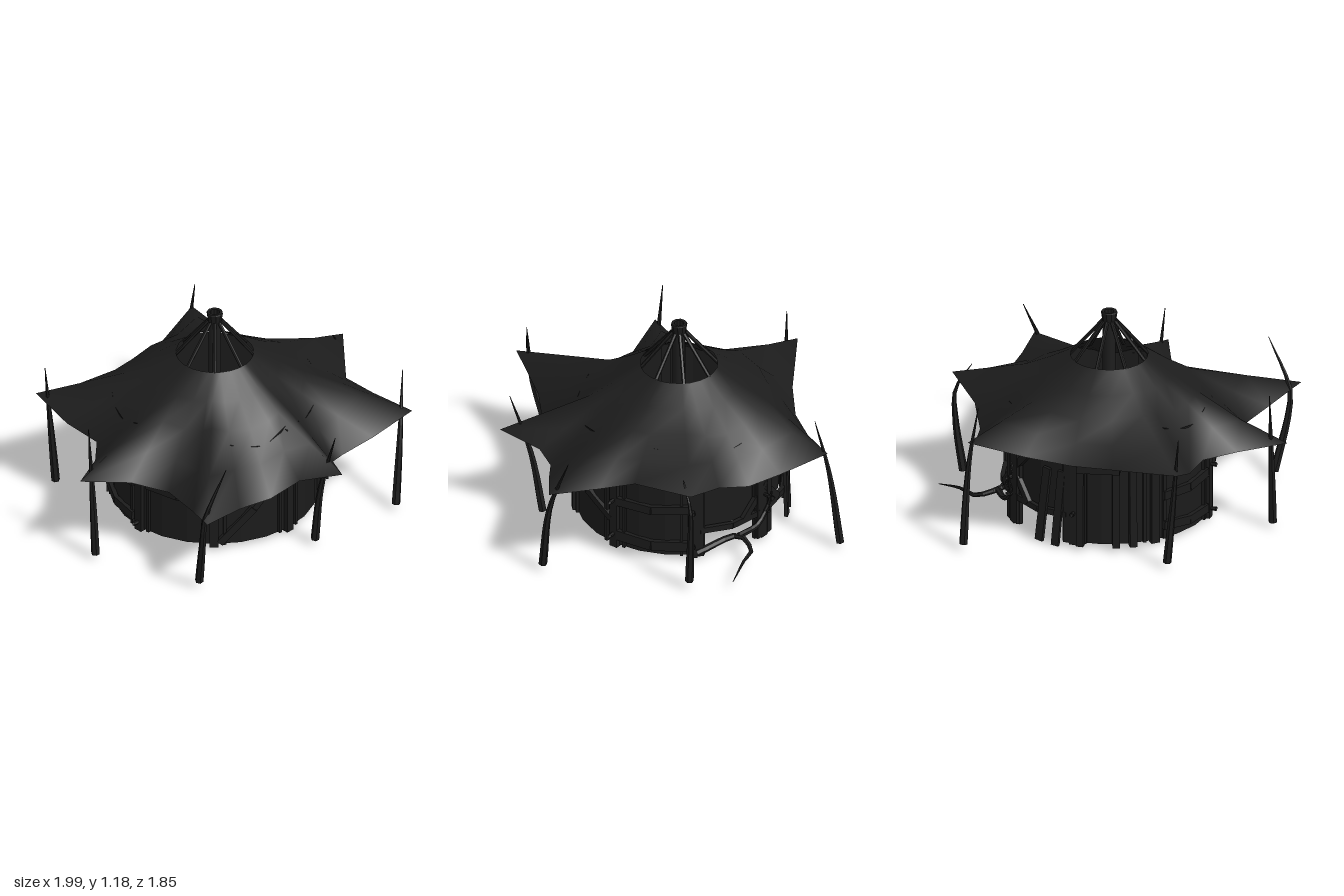
import * as THREE from 'three';

const CX = 0.045, CZ = -0.085;          // axis of the hut
const FLOOR = 0.035, WALL_R = 0.575;
const V = (x, y, z) => new THREE.Vector3(x, y, z);
// Point at an angle (degrees, 0 = front, 90 = +x), radius and height around the hut axis
const at = (deg, r, y) => {
  const a = THREE.MathUtils.degToRad(deg);
  return V(CX + r * Math.sin(a), y, CZ + r * Math.cos(a));
};

export function createModel() {
  const root = new THREE.Group();
  const cloth = new THREE.MeshStandardMaterial({ color: 0x1d1d1d, side: THREE.DoubleSide });
  const wood = new THREE.MeshStandardMaterial({ color: 0x1b1b1b, side: THREE.DoubleSide, flatShading: true });

  const add = (name, geo, mat = wood) => {
    const m = new THREE.Mesh(geo, mat);
    m.name = name;
    root.add(m);
    return m;
  };

  // Board from p to q whose broad face looks away from the hut axis
  const board = (name, p, q, width, depth) => {
    const m = add(name, new THREE.BoxGeometry(p.distanceTo(q), width, depth));
    const mid = p.clone().add(q).multiplyScalar(0.5);
    const x = q.clone().sub(p).normalize();
    const z = V(mid.x - CX, 0, mid.z - CZ);
    z.addScaledVector(x, -z.dot(x)).normalize();
    const y = z.clone().cross(x);
    m.quaternion.setFromRotationMatrix(new THREE.Matrix4().makeBasis(x, y, z));
    m.position.copy(mid);
  };

  // Tube along points, tapering from r0 to r1, faster towards the tip
  const limb = (name, pts, r0, r1, seg = 8) => {
    const curve = new THREE.CatmullRomCurve3(pts);
    const geo = new THREE.TubeGeometry(curve, seg, 1, 6);
    const pos = geo.attributes.position, v = V(0, 0, 0);
    for (let i = 0; i < pos.count; i++) {
      const t = Math.floor(i / 7) / seg, c = curve.getPointAt(t);
      v.fromBufferAttribute(pos, i).sub(c).multiplyScalar(r0 + (r1 - r0) * t ** 1.6).add(c);
      pos.setXYZ(i, v.x, v.y, v.z);
    }
    geo.computeVertexNormals();
    add(name, geo);
  };

  // Canopy: eight-pointed cloth, lofted from the smoke hole to the ragged hem
  const hem = [
    [-1, 0.545, -0.085], [-0.76, 0.5, 0.07], [-0.64, 0.465, 0.25], [-0.69, 0.47, 0.49],
    [-0.8, 0.535, 0.715], [-0.47, 0.455, 0.635], [-0.235, 0.42, 0.64], [-0.06, 0.48, 0.69],
    [0.05, 0.575, 0.915], [0.18, 0.51, 0.71], [0.3, 0.48, 0.665], [0.5, 0.52, 0.7],
    [0.77, 0.59, 0.735], [0.745, 0.59, 0.45], [0.735, 0.6, 0.25], [0.985, 0.65, -0.03], [0.79, 0.57, -0.21],
    [0.695, 0.505, -0.39], [0.65, 0.54, -0.57], [0.61, 0.63, -0.84], [0.3, 0.56, -0.77],
    [0.04, 0.53, -0.735], [-0.21, 0.55, -0.75], [-0.61, 0.61, -0.83], [-0.605, 0.52, -0.59], [-0.6, 0.5, -0.36], [-0.75, 0.51, -0.22],
  ];
  const verts = [], faces = [], rings = 5;
  hem.forEach(([x, y, z], i) => {
    const dx = x - CX, dz = z - CZ, r = Math.hypot(dx, dz);
    const kinkY = 0.752 + (y - 0.56) * 0.3;
    const profile = [[0.215, 0.93], [0.355, (0.93 + kinkY) / 2 - 0.005], [0.5, kinkY],
      [(0.5 + r) / 2, (kinkY + y) / 2], [r, y]];
    profile.forEach(([pr, py]) => verts.push(CX + dx / r * pr, py, CZ + dz / r * pr));
    const n = (i + 1) % hem.length;
    for (let k = 0; k < rings - 1; k++) {
      const a = i * rings + k, b = n * rings + k;
      faces.push(a, a + 1, b, b, a + 1, b + 1);
    }
  });
  const roofGeo = new THREE.BufferGeometry();
  roofGeo.setAttribute('position', new THREE.Float32BufferAttribute(verts, 3));
  roofGeo.setIndex(faces);
  roofGeo.computeVertexNormals();
  const roof = add('canopy', roofGeo, cloth);

  // Height of the canopy above a point
  const ray = new THREE.Raycaster();
  const roofY = p => {
    ray.set(V(p.x, 2, p.z), V(0, -1, 0));
    return ray.intersectObject(roof)[0].point.y;
  };

  // Curved wall between two angles, from a bottom height up to the canopy
  const wall = (name, from, to, bottom, radius, sides) => {
    const geo = new THREE.CylinderGeometry(radius, radius, 1, sides, 1, true,
      THREE.MathUtils.degToRad(from), THREE.MathUtils.degToRad(to - from));
    const pos = geo.attributes.position;
    for (let i = 0; i < pos.count; i++) {
      const p = V(pos.getX(i) + CX, 0, pos.getZ(i) + CZ);
      pos.setXYZ(i, p.x, pos.getY(i) > 0 ? roofY(p) - 0.005 : bottom, p.z);
    }
    add(name, geo);
  };
  wall('wall', 180, 450, FLOOR, WALL_R, 18);
  // Two bays whose cladding stops short of the ground
  wall('raisedWall', 90, 135, 0.2, WALL_R - 0.01, 2);
  wall('raisedWall', 135, 180, 0.2, WALL_R - 0.01, 2);

  // Hollow centre pole with a flared cap
  const pole = add('centrePole', new THREE.CylinderGeometry(0.036, 0.036, 1.12, 10, 1, true), cloth);
  pole.position.set(CX, FLOOR + 0.56, CZ);
  const cap = add('poleCap', new THREE.LatheGeometry(
    [[0.032, 1.13], [0.037, 1.13], [0.046, 1.185], [0.043, 1.192], [0.028, 1.19], [0.028, 1.135]]
      .map(([r, y]) => new THREE.Vector2(r, y)), 10));
  cap.position.set(CX, 0, CZ);

  for (let i = 0; i < 8; i++) {
    const a = i * 45;
    // Rafters over the smoke hole
    limb('rafter', [at(a, 0.035, 1.135), at(a, 0.24, 0.885)], 0.011, 0.011, 1);
    // Wall posts with a thin batten on each side
    const top = b => roofY(at(b, 0.6, 0)) - 0.02;
    board('wallPost', at(a, 0.58, FLOOR - 0.01), at(a, 0.58, top(a)), 0.05, 0.035);
    [a + 6, a + 39].forEach(b => board('batten', at(b, 0.577, FLOOR), at(b, 0.577, top(b)), 0.018, 0.02));
  }

  // Rails bent across a wall bay
  const rail = (a, b, y0, y1, width) => {
    const mid = (a + b) / 2, ym = (y0 + y1) / 2 - 0.008;
    board('rail', at(a, 0.59, y0), at(mid, 0.59, ym), width, 0.025);
    board('rail', at(mid, 0.59, ym), at(b, 0.59, y1), width, 0.025);
  };
  [
    [47, 88, 0.33, 0.34, 0.05], [47, 88, 0.11, 0.1, 0.06],
    [-84, -47, 0.42, 0.42, 0.05], [-84, -47, 0.35, 0.34, 0.05],
    [-130, -94, 0.3, 0.32, 0.05], [-130, -94, 0.12, 0.1, 0.05],
  ].forEach(r => rail(...r));

  // Frames of the two raised bays
  [[94, 131], [139, 176]].forEach(([a, b]) => {
    rail(a, b, 0.2, 0.2, 0.035);
    rail(a, b, 0.56, 0.56, 0.03);
    [a, b].forEach(c => board('framePost', at(c, 0.585, FLOOR), at(c, 0.585, 0.58), 0.04, 0.03));
  });

  // Diagonal braces
  [[-42, 0.05, -4, 0.45], [4, 0.38, 43, 0.2], [120, 0.2, 150, 0.5], [122, 0.5, 150, 0.2]]
    .forEach(([a, y0, b, y1]) => {
      const m = (a + b) / 2, ym = (y0 + y1) / 2;
      board('brace', at(a, 0.587, y0), at(m, 0.587, ym), 0.04, 0.025);
      board('brace', at(m, 0.587, ym), at(b, 0.587, y1), 0.04, 0.025);
    });

  // Doorway frame at the back
  [184, 203, 212].forEach(a => board('doorPost', at(a, 0.6, 0.03), at(a, 0.59, 0.52), 0.04, 0.045));
  board('doorLintel', at(182, 0.605, 0.5), at(205, 0.605, 0.5), 0.045, 0.045);
  // Loose planks leaning beside it
  board('leaningPlank', at(170, 0.61, 0.01), at(173, 0.59, 0.46), 0.045, 0.02);
  board('leaningPlank', at(160, 0.61, 0.015), at(164, 0.59, 0.46), 0.05, 0.02);

  // Pegs holding the rails
  [[0, 0.48], [0, 0.39], [45, 0.33], [45, 0.11], [90, 0.33], [90, 0.11], [-45, 0.42], [-90, 0.35],
    [135, 0.2], [135, 0.3], [180, 0.22], [-90, 0.08]].forEach(([a, y]) =>
    limb('peg', [at(a, 0.58, y), at(a, 0.63, y)], 0.009, 0.013, 1));

  // Outer tent poles, tapering to spikes above the hem
  [
    [V(-0.905, 0.04, -0.06), V(-0.905, 0.45, -0.085), V(-0.905, 0.83, -0.115)],
    [V(-0.7, 0.05, 0.55), V(-0.755, 0.385, 0.635), V(-0.755, 0.52, 0.65), V(-0.62, 0.8, 0.68)],
    [V(0.07, 0.04, 0.68), V(0.055, 0.4, 0.74), V(0.05, 0.79, 0.86)],
    [V(0.63, 0.05, 0.75), V(0.69, 0.45, 0.72), V(0.8, 0.8, 0.63)],
    [V(0.92, 0.06, -0.03), V(0.965, 0.36, -0.03), V(0.965, 0.55, -0.03), V(0.88, 0.7, 0.0)],
    [V(0.61, 0.045, -0.91), V(0.6, 0.5, -0.85), V(0.57, 0.82, -0.775)],
    [V(-0.53, 0.04, -0.755), V(-0.565, 0.4, -0.758), V(-0.6, 0.8, -0.768)],
  ].forEach(pts => limb('outerPole', pts, 0.024, 0.002, 10));

  // Crooked branches by the wall
  limb('branch', [at(92, 0.6, 0.06), at(115, 0.62, 0.13), V(0.72, 0.1, -0.4), V(0.82, 0.105, -0.35), V(0.98, 0.07, -0.265)], 0.02, 0.002, 12);
  limb('branchFork', [at(115, 0.62, 0.13), at(128, 0.61, 0.14), at(136, 0.61, 0.22), at(137, 0.63, 0.32)], 0.018, 0.006, 8);

  return root;
}
